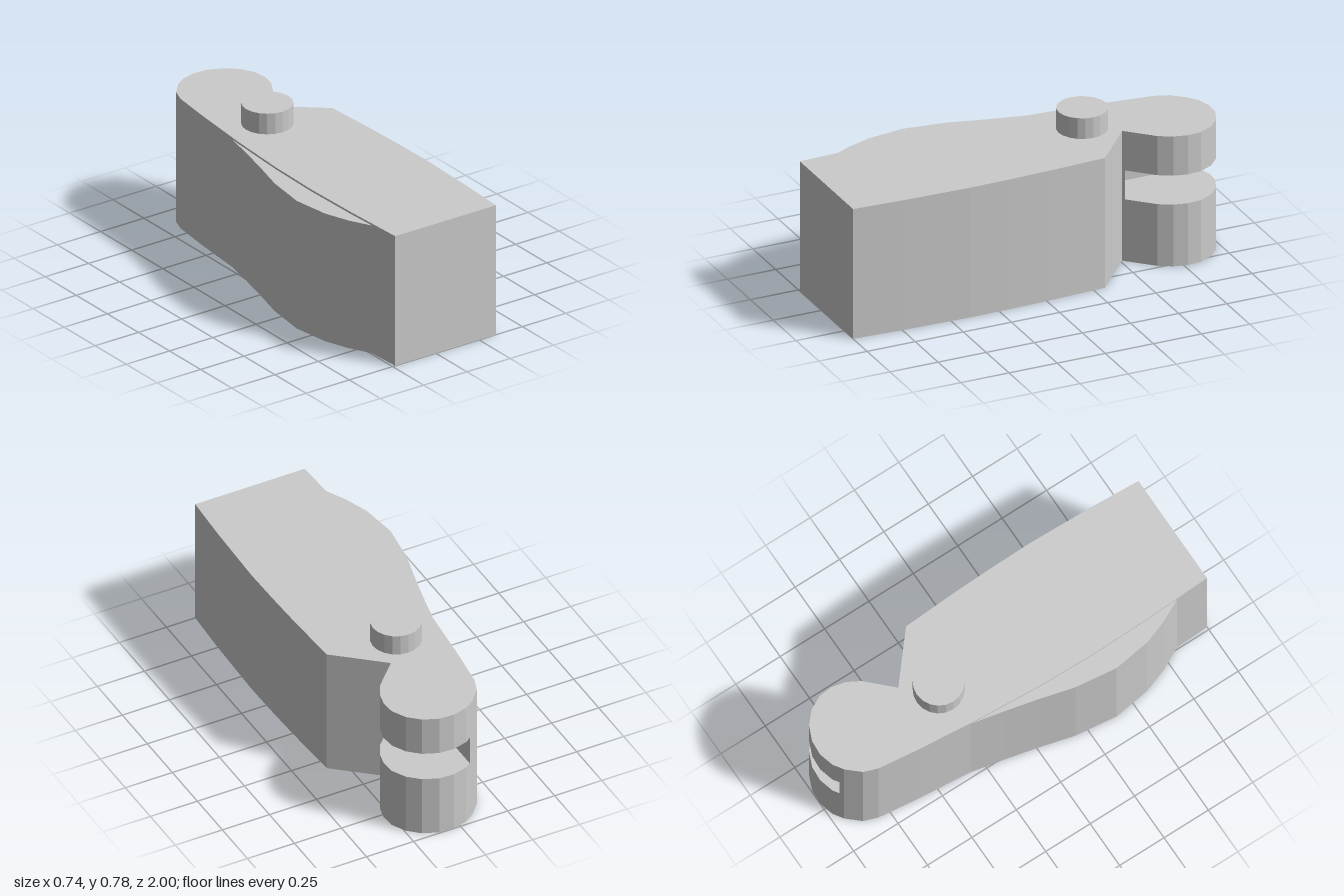
import * as THREE from 'three';

const HEIGHT = 0.673;
const material = new THREE.MeshStandardMaterial({ color: 0xcccccc, flatShading: true });

// Upright prism from a plan outline of [x, z] points
function prism(name, outline, y0, y1) {
  const shape = new THREE.Shape(outline.map(([x, z]) => new THREE.Vector2(x, -z)));
  const geometry = new THREE.ExtrudeGeometry(shape, { depth: y1 - y0, bevelEnabled: false });
  geometry.rotateX(-Math.PI / 2).translate(0, y0, 0);
  const mesh = new THREE.Mesh(geometry, material);
  mesh.name = name;
  return mesh;
}

export function createModel() {
  const model = new THREE.Group();
  model.name = 'slottedBlock';

  // Corners shared by the body and the rounded nose, around the slot
  const slotTip = [-0.07, -0.96];
  const slotInner = [-0.07, -0.52];
  const slotOuter = [0.12, -0.52];

  // Full-height body with the thin wall that closes one side of the slot
  model.add(prism('body', [
    [-0.235, 1], [0.347, 1], [0.36, 0.75], [0.37, 0.4], [0.367, 0.2], [0.36, -0.02], [0.345, -0.31],
    [0.11, -0.51], slotOuter, slotInner, slotTip,
    [-0.09, -0.947], [-0.15, -0.88], [-0.175, -0.81], [-0.2, -0.6], [-0.23, -0.27],
    [-0.25, 0.06], [-0.256, 0.35], [-0.25, 0.65],
  ], 0, HEIGHT));

  // Rounded nose, split by the horizontal slot
  const nose = [
    slotInner, slotTip, [-0.04, -0.98], [0.035, -1], [0.11, -0.995], [0.185, -0.963], [0.243, -0.91],
    [0.28, -0.84], [0.286, -0.77], [0.27, -0.7], [0.233, -0.635], slotOuter,
  ];
  model.add(prism('lowerNose', nose, 0, 0.32));
  model.add(prism('upperNose', nose, 0.47, HEIGHT));

  // Curved bulge along the side, a little lower than the body
  model.add(prism('sideBulge', [
    [-0.2, -0.58], [-0.222, -0.34], [-0.26, -0.16], [-0.297, 0], [-0.345, 0.185], [-0.372, 0.4],
    [-0.345, 0.59], [-0.3, 0.715], [-0.243, 0.825], [-0.2, 0.825], [-0.2, 0],
  ], 0, 0.663));

  // Round peg on top
  const peg = new THREE.Mesh(new THREE.CylinderGeometry(0.123, 0.123, 0.13, 20), material);
  peg.name = 'peg';
  peg.position.set(0, 0.715, -0.355);
  model.add(peg);

  return model;
}
